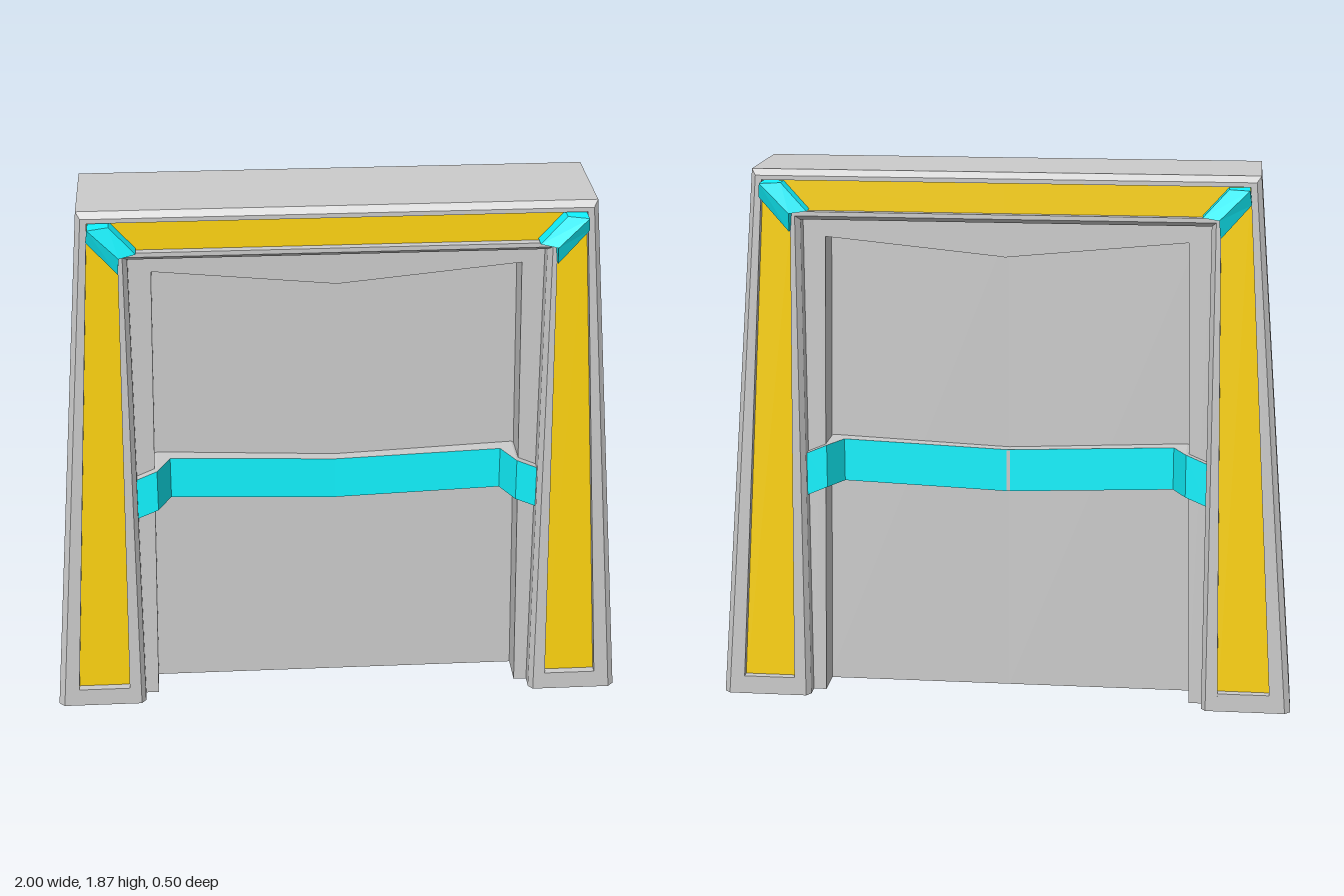
import * as THREE from 'three';

const material = (color) => new THREE.MeshStandardMaterial({ color, flatShading: true });
const grey = material(0xcccccc), yellow = material(0xffd510), cyan = material(0x10f4ff);

// Surface through rows of points; flat-shaded quads between neighbours
function loft(rows) {
  const pos = [];
  for (let r = 0; r < rows.length - 1; r++) {
    for (let s = 0; s < rows[r].length - 1; s++) {
      const a = rows[r][s], b = rows[r + 1][s], c = rows[r + 1][s + 1], d = rows[r][s + 1];
      pos.push(...a, ...b, ...c, ...a, ...c, ...d);
    }
  }
  return fromPositions(pos);
}

function fromPositions(pos) {
  const g = new THREE.BufferGeometry();
  g.setAttribute('position', new THREE.Float32BufferAttribute(pos, 3));
  g.computeVertexNormals();
  return g;
}

// Profile point [xBottom, xTop, yTop, z, yMiddle] carried around the doorway
const archRow = ([xb, xt, y, z, ym = y]) =>
  [[-xb, 0, z], [-xt, y, z], [0, ym, z], [xt, y, z], [xb, 0, z]];

// Downward-facing feet that close an arch profile
function feet(profile) {
  const pos = [];
  const pts = profile.map((p) => new THREE.Vector2(p[0], p[3]));
  for (const [a, b, c] of THREE.ShapeUtils.triangulateShape(pts, [])) {
    const [A, B, C] = [pts[a], pts[b], pts[c]];
    const cross = (B.x - A.x) * (C.y - A.y) - (B.y - A.y) * (C.x - A.x);
    const tri = cross > 0 ? [A, B, C] : [A, C, B];
    for (const p of tri) pos.push(p.x, 0, p.y);
    for (const p of [...tri].reverse()) pos.push(-p.x, 0, p.y);
  }
  return fromPositions(pos);
}

export function createModel() {
  const model = new THREE.Group();
  model.name = 'doorway';
  const add = (parent, name, geometry, mat) => {
    const mesh = new THREE.Mesh(geometry, mat);
    mesh.name = name;
    parent.add(mesh);
    return mesh;
  };
  const box = (parent, name, w, h, d, x, y, z) =>
    add(parent, name, new THREE.BoxGeometry(w, h, d), grey).position.set(x, y, z);

  // Tapered outer frame with chamfered edges and a groove in each face
  const half = [
    [1, 0.85, 1.87, 0.18], [0.98, 0.835, 1.85, 0.2],
    [0.929, 0.815, 1.835, 0.2], [0.929, 0.815, 1.835, 0.17],
    [0.747, 0.72, 1.73, 0.17], [0.747, 0.72, 1.73, 0.2],
    [0.705, 0.705, 1.715, 0.2], [0.69, 0.69, 1.7, 0.18],
  ];
  const profile = [...half, ...half.map(([a, b, y, z]) => [a, b, y, -z]).reverse()];
  add(model, 'outerFrame', loft([...profile, profile[0]].map(archRow)), grey);
  add(model, 'frameFeet', feet(profile), grey);

  // Blocks closing the groove at the foot of each post
  for (const s of [-1, 1]) {
    const foot = new THREE.Shape([[0.929, 0], [0.925, 0.065], [0.746, 0.065], [0.747, 0]]
      .map(([x, y]) => new THREE.Vector2(s * x, y)));
    const g = new THREE.ExtrudeGeometry(foot, { depth: 0.4, bevelEnabled: false });
    add(model, 'grooveEnd', g.translate(0, 0, -0.2), grey);
  }

  // Inner jamb with a shallow V lintel
  const jamb = [
    [0.69, 0.69, 1.7, 0.13], [0.645, 0.615, 1.635, 0.13, 1.575],
    [0.645, 0.615, 1.635, -0.13, 1.575], [0.69, 0.69, 1.7, -0.13],
  ];
  add(model, 'jamb', loft(jamb.map(archRow)), grey);
  add(model, 'jambFeet', feet(jamb), grey);
  box(model, 'lintelSeam', 0.01, 0.125, 0.264, 0, 1.6375, 0);

  // Pair of thin door leaves
  for (const s of [-1, 1]) box(model, 'doorLeaf', 0.655, 1.66, 0.02, s * 0.3275, 0.83, 0);

  // Crossbar path: [x, y centre, z], mirrored about the middle
  const bend = [[0.69, 0.805, 0.16], [0.62, 0.835, 0.16], [0.575, 0.833, 0.06]];
  const path = [
    ...bend.map(([x, y, z]) => [-x, y, z]), [0, 0.807, 0.05], ...[...bend].reverse(),
  ];
  const barRow = (dy, depth) => path.map(([x, y, z]) => [x, y + dy, z * depth]);

  // Corner bracket: ridged strip over the mitre, s picks the side
  const bracket = (s) => {
    const outer = [[0.82, 1.78, 0.16], [0.82, 1.78, 0.225], [0.813, 1.83, 0.25],
      [0.745, 1.83, 0.225], [0.745, 1.83, 0.16]];
    const inner = [[0.72, 1.665, 0.16], [0.72, 1.665, 0.225], [0.715, 1.73, 0.25],
      [0.66, 1.735, 0.225], [0.66, 1.735, 0.16]];
    const rows = outer.map((p, i) =>
      [[0.813, 1.83, 0.16], p, inner[i], [0.715, 1.73, 0.16]].map(([x, y, z]) => [s * x, y, z]));
    return loft(s > 0 ? rows : rows.reverse());
  };

  // Trim repeated on the front and the back
  for (const name of ['frontTrim', 'backTrim']) {
    const side = new THREE.Group();
    side.name = name;
    if (name === 'backTrim') side.rotation.y = Math.PI;
    model.add(side);

    const inlay = [[0.929, 0.815, 1.835, 0.172], [0.747, 0.72, 1.73, 0.172]];
    add(side, 'grooveInlay', loft(inlay.map(archRow)), yellow);
    add(side, 'crossbarFace', loft([barRow(0.075, 1), barRow(-0.075, 1)]), cyan);
    add(side, 'crossbarTop', loft([barRow(0.075, 0), barRow(0.075, 1)]), grey);
    add(side, 'crossbarUnderside', loft([barRow(-0.075, 1), barRow(-0.075, 0)]), grey);
    for (const s of [-1, 1]) add(side, 'cornerBracket', bracket(s), cyan);
  }
  box(model, 'crossbarSeam', 0.012, 0.146, 0.02, 0, 0.807, -0.042);
  return model;
}
